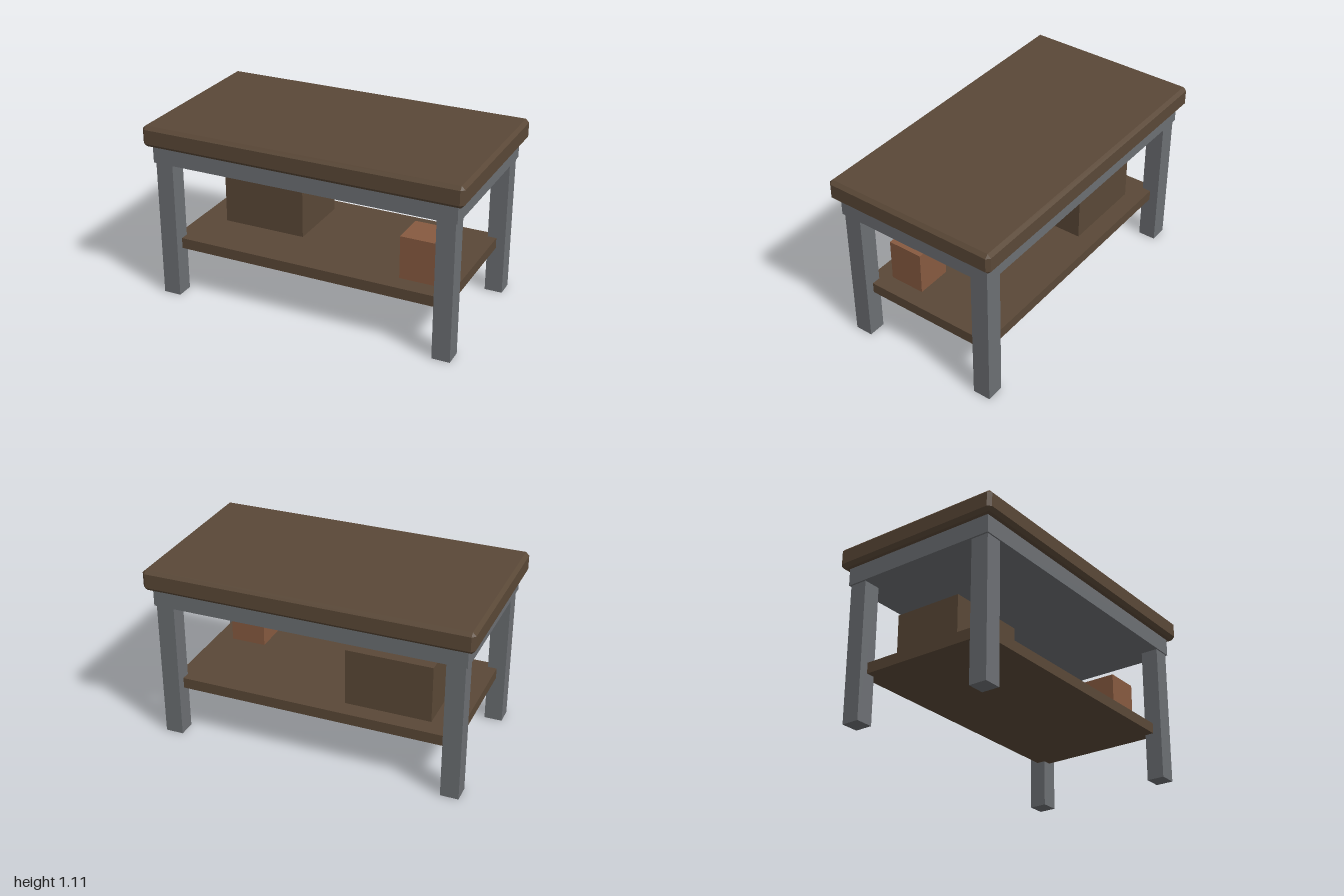
import * as THREE from 'three';
import { ConvexGeometry } from 'three/addons/geometries/ConvexGeometry.js';

const material = (color) => new THREE.MeshStandardMaterial({ color, flatShading: true });

// Box with every edge and corner cut flat by c
function chamferedBox(w, h, d, c) {
  const points = [];
  for (const sx of [-1, 1]) for (const sy of [-1, 1]) for (const sz of [-1, 1]) {
    const x = w / 2, y = h / 2, z = d / 2;
    points.push(
      new THREE.Vector3(sx * x, sy * (y - c), sz * (z - c)),
      new THREE.Vector3(sx * (x - c), sy * y, sz * (z - c)),
      new THREE.Vector3(sx * (x - c), sy * (y - c), sz * z)
    );
  }
  return new ConvexGeometry(points);
}

export function createModel() {
  const group = new THREE.Group();
  const wood = material(0x5a4837);
  const clay = material(0x875a40);
  const metal = material(0x6c6f73);

  function add(name, geometry, mat, x, y, z) {
    const mesh = new THREE.Mesh(geometry, mat);
    mesh.name = name;
    mesh.position.set(x, y, z);
    group.add(mesh);
  }

  // Box standing on height y
  function addBox(name, mat, w, h, d, x, y, z) {
    add(name, new THREE.BoxGeometry(w, h, d), mat, x, y + h / 2, z);
  }

  // Bevelled top on a solid apron
  add('tableTop', chamferedBox(2, 0.13, 1.11, 0.021), wood, 0, 1.045, 0);
  addBox('apron', metal, 1.912, 0.11, 1.018, 0, 0.87, 0);

  // Four square legs
  for (const [side, sx] of [['Left', 1], ['Right', -1]])
    for (const [end, sz] of [['front', 1], ['back', -1]])
      addBox(`${end}${side}Leg`, metal, 0.111, 0.87, 0.111, sx * 0.889, 0, sz * 0.445);

  // Lower shelf, its corners running into the legs
  addBox('lowerShelf', wood, 1.778, 0.067, 0.89, 0, 0.3, 0);

  // Boxes stored on the shelf
  addBox('largeCrate', wood, 0.533, 0.356, 0.444, -0.445, 0.367, -0.111);
  addBox('smallCrate', clay, 0.222, 0.267, 0.222, 0.667, 0.367, 0.222);

  return group;
}
